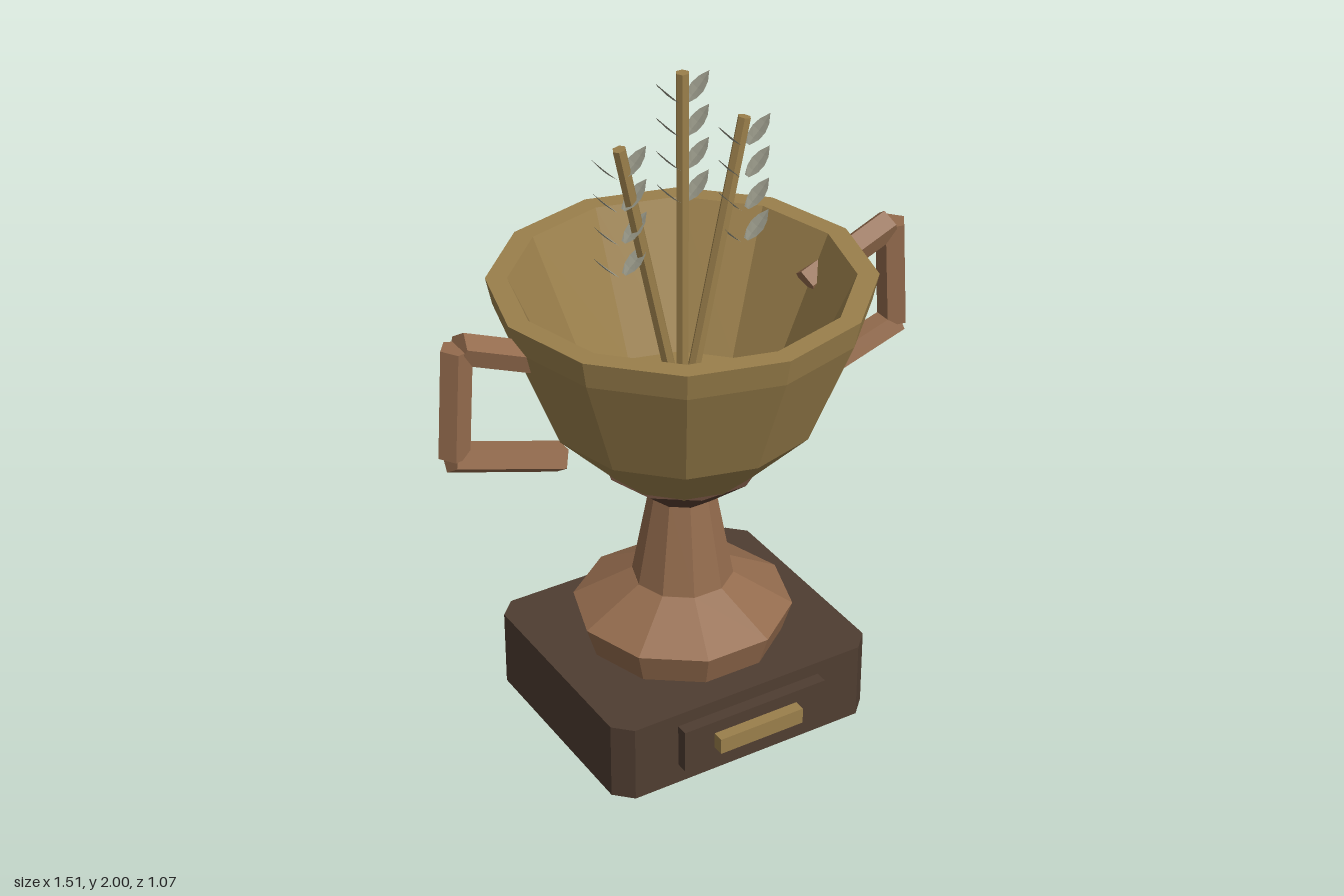
import * as THREE from 'three';

const mat = (color, side = THREE.FrontSide) =>
  new THREE.MeshStandardMaterial({ color, side, flatShading: true });
const gold = mat(0x9a7f4b);
const copper = mat(0x936b4d);
const bronze = mat(0x5a4032);
const wood = mat(0x4f3d31);
const silver = mat(0x9c9c8c, THREE.DoubleSide);

function add(parent, name, geometry, material) {
  const mesh = new THREE.Mesh(geometry, material);
  mesh.name = name;
  parent.add(mesh);
  return mesh;
}

// Faceted turned part with a corner on the x axis; profile runs bottom to top
function turned(profile, sides) {
  const points = profile.map(([r, y]) => new THREE.Vector2(r, y));
  return new THREE.LatheGeometry(points, sides, Math.PI / 2);
}

// Straight bar in the xy plane; its ridge lies to the right of its direction
function bar([x0, y0], [x1, y1], radius, sides) {
  const geo = new THREE.CylinderGeometry(radius, radius, Math.hypot(x1 - x0, y1 - y0), sides);
  geo.rotateY(Math.PI / 2);
  geo.rotateZ(Math.atan2(y1 - y0, x1 - x0) - Math.PI / 2);
  geo.translate((x0 + x1) / 2, (y0 + y1) / 2, 0);
  return geo;
}

// Leaf growing toward +x, curling up to a pointed tip
function leafGeometry() {
  const geo = new THREE.PlaneGeometry(1, 2, 4, 2);
  const pos = geo.attributes.position;
  for (let i = 0; i < pos.count; i++) {
    const t = pos.getX(i) + 0.5;
    const s = pos.getY(i);
    const half = 0.031 * Math.pow(Math.sin(Math.PI * (0.08 + 0.92 * t)), 0.8);
    const y = 0.045 * t + 0.028 * t * t + 0.005 * Math.abs(s) * Math.sin(Math.PI * t);
    pos.setXYZ(i, 0.01 + 0.072 * t, y, -s * half);
  }
  geo.computeVertexNormals();
  return geo;
}

export function createModel() {
  const model = new THREE.Group();
  model.name = 'trophy';

  // Plinth with cut corners
  const w = 0.425, d = 0.363, c = 0.05;
  const outline = new THREE.Shape([
    [w - c, -d], [w, c - d], [w, d - c], [w - c, d],
    [c - w, d], [-w, d - c], [-w, c - d], [c - w, -d],
  ].map(([x, y]) => new THREE.Vector2(x, y)));
  const plinth = new THREE.ExtrudeGeometry(outline, { depth: 0.24, bevelEnabled: false });
  add(model, 'plinth', plinth.rotateX(-Math.PI / 2), wood);

  // Name plate on the front
  add(model, 'platePanel', new THREE.BoxGeometry(0.47, 0.135, 0.06), wood)
    .position.set(0, 0.132, 0.37);
  add(model, 'plate', new THREE.BoxGeometry(0.275, 0.05, 0.06), gold)
    .position.set(0, 0.135, 0.405);

  // Foot, stem and collar
  add(model, 'foot', turned([[0, 0.24], [0.29, 0.24], [0.32, 0.335], [0.148, 0.435], [0, 0.435]], 10), copper);
  add(model, 'stem', turned([[0.148, 0.43], [0.094, 0.72]], 10), copper);
  add(model, 'collar', turned([[0, 0.712], [0.1, 0.712], [0.232, 0.82], [0, 0.82]], 10), bronze);

  // Hollow bowl: outside, flat rim, inside wall and floor
  add(model, 'bowl', turned([
    [0, 0.81], [0.212, 0.81], [0.39, 0.995], [0.518, 1.32], [0.535, 1.4],
    [0.475, 1.4], [0.3, 0.99], [0, 0.99],
  ], 12), gold);

  // Handles, each of three five-sided bars
  const bars = [
    ['handleLower', [0.39, 0.948], [0.72, 1.055]],
    ['handleGrip', [0.712, 1.06], [0.69, 1.382]],
    ['handleUpper', [0.683, 1.379], [0.405, 1.262]],
  ];
  for (const side of ['left', 'right']) {
    const handle = new THREE.Group();
    handle.name = side + 'Handle';
    for (const [name, a, b] of bars) add(handle, name, bar(a, b, 0.045, 5), copper);
    if (side === 'right') handle.rotation.y = Math.PI;
    model.add(handle);
  }

  // Three stalks with upright columns of paired leaves
  const leaf = leafGeometry();
  const stalks = [
    ['middleSprig', 0, 0, 2, 1.915],
    ['leftSprig', 0.012, 0.193, 1.828, 1.745],
    ['rightSprig', -0.012, -0.193, 1.828, 1.745],
  ];
  for (const [name, footX, topX, topY, leafY] of stalks) {
    const sprig = new THREE.Group();
    sprig.name = name;
    add(sprig, 'stalk', bar([footX, 0.985], [topX, topY], 0.019, 6), gold);
    for (let i = 0; i < 4; i++) {
      for (const turn of [0, Math.PI]) {
        const blade = add(sprig, 'leaf', leaf, silver);
        blade.position.set(topX, leafY - i * 0.096, 0);
        blade.rotation.y = turn;
      }
    }
    model.add(sprig);
  }
  return model;
}
